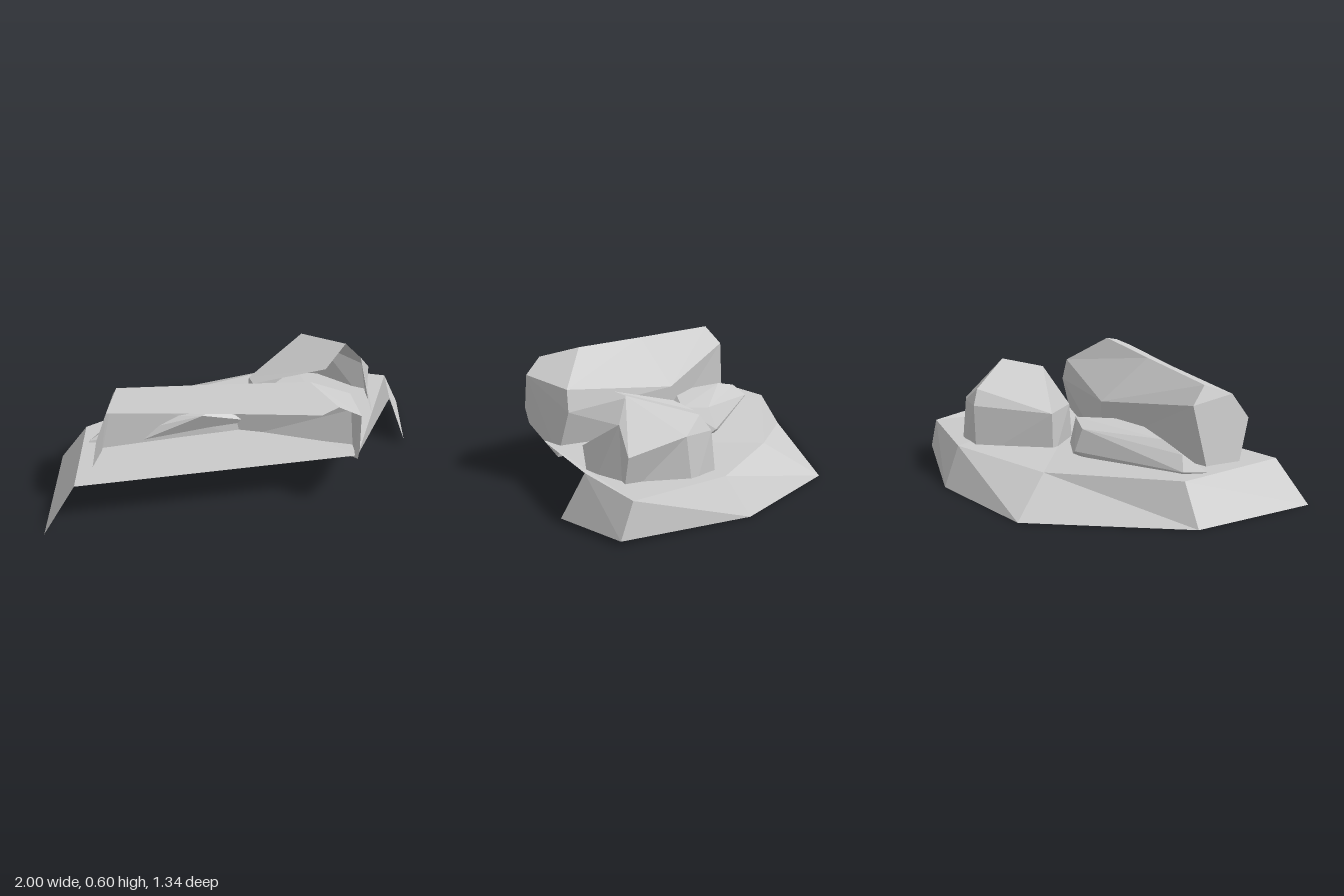
import * as THREE from 'three';
import { ConvexGeometry } from 'three/addons/geometries/ConvexGeometry.js';

const material = new THREE.MeshStandardMaterial({
  color: 0xcccccc, flatShading: true, side: THREE.DoubleSide,
});

// Flat facets: every polygon is a list of [x, y, z] corners, fanned into triangles
function facets(name, polygons) {
  const out = [];
  for (const p of polygons) {
    for (let i = 1; i < p.length - 1; i++) out.push(...p[0], ...p[i], ...p[i + 1]);
  }
  const g = new THREE.BufferGeometry();
  g.setAttribute('position', new THREE.Float32BufferAttribute(out, 3));
  g.computeVertexNormals();
  const mesh = new THREE.Mesh(g, material);
  mesh.name = name;
  return mesh;
}

// Quads between neighbouring rows of points
function loft(rows) {
  const quads = [];
  for (let r = 0; r < rows.length - 1; r++) {
    for (let i = 0; i < rows[r].length - 1; i++) {
      quads.push([rows[r][i], rows[r][i + 1], rows[r + 1][i + 1], rows[r + 1][i]]);
    }
  }
  return quads;
}

// Ground ledge: a tilted top with a sloping skirt round the back, open at the front
function ledge() {
  const foot = [[-1, 0, 0.1], [-0.67, 0, -0.41], [0.07, 0, -0.67],
    [0.61, 0, -0.41], [1, 0.02, 0.07], [0.81, 0.02, 0.37]];
  const brow = [[-0.84, 0.2, 0.1], [-0.57, 0.18, -0.33], [0.08, 0.15, -0.41],
    [0.6, 0.175, -0.3], [0.94, 0.175, 0.03], [0.78, 0.22, 0.27]];
  const tip = [0.37, 0.2, 0.56];
  return facets('groundLedge', [...loft([foot, brow]), [tip, ...[...brow].reverse()]]);
}

// Long leaning boulder: front lip, ridge, back shoulder and foot at three stations
function longBoulder() {
  const left = [[-0.64, 0.49, 0.05], [-0.54, 0.54, -0.04], [-0.52, 0.46, -0.12], [-0.6, 0.14, -0.12]];
  const middle = [[-0.22, 0.51, 0.35], [-0.15, 0.57, 0.22], [0.01, 0.38, 0.04], [0.04, 0.14, 0.08]];
  const right = [[0.12, 0.53, 0.61], [0.17, 0.595, 0.44], [0.4, 0.46, 0.44], [0.42, 0.36, 0.43]];
  const lip = [0.2, 0.55, 0.62], nose = [0.3, 0.49, 0.655], toe = [0.4, 0.14, 0.49];
  const leftCap = [...left, [-0.7, 0.19, 0], [-0.71, 0.38, 0.08]];
  return facets('longBoulder', [
    ...loft([left, middle, right]),
    leftCap,
    [right[0], lip, right[1]],
    [right[1], lip, nose, right[2]],
    [nose, [0.29, 0.33, 0.67], [0.3, 0.26, 0.65], toe, right[3], right[2]],
    [middle[3], right[3], toe],
  ]);
}

// Short boulder: sloping top, walls to the back and side, open at the front
function shortBoulder() {
  const a = [0.42, 0.47, 0.22], b = [0.6, 0.51, 0.13], c = [0.56, 0.43, -0.18];
  const d = [0.2, 0.33, -0.1], e = [0.16, 0.36, 0];
  const f = [0.69, 0.41, 0.14], g = [0.65, 0.36, -0.14], h = [0.79, 0.3, 0.08];
  const k = [0.55, 0.36, -0.23];
  const foot = [[0.2, 0.1, 0.11], [0.19, 0.1, -0.11], [0.53, 0.1, -0.25],
    [0.66, 0.1, -0.17], [0.77, 0.1, 0.11], [0.7, 0.1, 0.27]];
  return facets('shortBoulder', [
    [a, b, c, d, e],
    [b, f, h, g, c],
    [c, g, k], [c, k, d],
    [e, d, foot[1], foot[0]],
    [d, k, foot[2], foot[1]],
    [k, g, foot[3], foot[2]],
    [g, h, foot[4], foot[3]],
    [f, h, foot[4], foot[5], [0.61, 0.28, 0.32]],
  ]);
}

// Low stone wedged behind the long boulder and sunk through the ledge
function lowStone() {
  const points = [
    [-0.53, 0.19, -0.25], [-0.62, 0.19, -0.2], [-0.5, 0.25, -0.19], [-0.38, 0.29, -0.13],
    [0.04, 0.19, -0.18], [0.02, 0.29, -0.14], [0.11, 0.31, -0.03], [0.18, 0.19, 0.1],
    [-0.15, 0.31, 0.05], [-0.62, 0.11, -0.16], [-0.5, 0.03, -0.2], [-0.43, 0.03, -0.15],
    [-0.12, 0.04, -0.12], [0.18, 0.07, 0],
  ].map((p) => new THREE.Vector3(...p));
  const mesh = new THREE.Mesh(new ConvexGeometry(points), material);
  mesh.name = 'lowStone';
  return mesh;
}

export function createModel() {
  const model = new THREE.Group();
  model.name = 'rockOutcrop';
  model.add(ledge(), longBoulder(), shortBoulder(), lowStone());
  return model;
}
